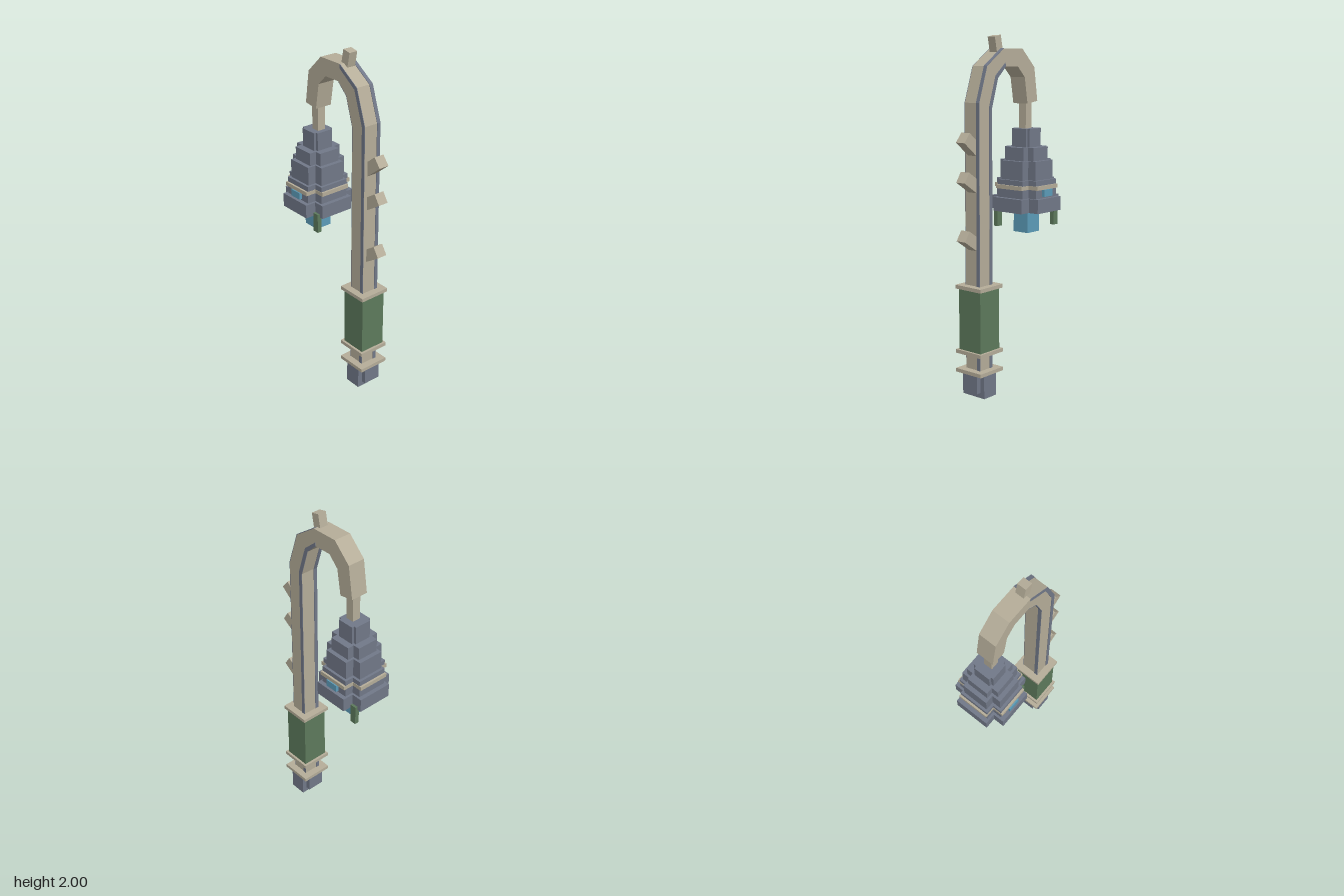
import * as THREE from 'three';

const material = (name, color) => {
  const m = new THREE.MeshStandardMaterial({ color });
  m.name = name;
  return m;
};

export function createModel() {
  const model = new THREE.Group();
  model.name = 'hangingBellLamp';
  const tan = material('weatheredTan', 0xb5ad99);
  const slate = material('slate', 0x717888);
  const green = material('mossGreen', 0x5d7a5c);
  const blue = material('glowBlue', 0x5c9cb9);

  const add = (name, geometry, mat, parent = model) => {
    const mesh = new THREE.Mesh(geometry, mat);
    mesh.name = name;
    parent.add(mesh);
    return mesh;
  };
  const box = (name, mat, [w, h, d], [x, y, z], tilt = 0, parent = model) => {
    const mesh = add(name, new THREE.BoxGeometry(w, h, d), mat, parent);
    mesh.position.set(x, y, z);
    mesh.rotation.z = tilt;
    return mesh;
  };
  // Box given by its half sizes and its bottom and top heights
  const slab = (name, mat, x, z, halfX, halfZ, y0, y1, parent) =>
    box(name, mat, [halfX * 2, y1 - y0, halfZ * 2], [x, (y0 + y1) / 2, z], 0, parent);

  // Cross-shaped slab made of two overlapping arms
  const cross = (name, mat, x, long, short, y0, y1, parent) => {
    slab(name, mat, x, 0, long, short, y0, y1, parent);
    slab(name, mat, x, 0, short, long, y0, y1, parent);
  };

  // Curved post: outer x, y and inner x, y at each joint
  const joints = [
    [0.265, 0.135, 0.165, 0.135],
    [0.265, 1.64, 0.165, 1.61],
    [0.2, 1.835, 0.115, 1.77],
    [0.065, 1.927, 0.05, 1.83],
    [-0.095, 1.927, -0.055, 1.83],
    [-0.2, 1.825, -0.115, 1.77],
    [-0.228, 1.635, -0.14, 1.622],
  ];
  // Strip of the post between two fractions of its thickness and two depths
  const rail = (name, mat, rows, t0, t1, z0, z1) => {
    const at = (t) => rows.map(([ox, oy, ix, iy]) =>
      new THREE.Vector2(ox + (ix - ox) * t, oy + (iy - oy) * t));
    const shape = new THREE.Shape([...at(t0), ...at(t1).reverse()]);
    const geometry = new THREE.ExtrudeGeometry(shape, { depth: z1 - z0, bevelEnabled: false });
    geometry.translate(0, 0, z0);
    return add(name, geometry, mat);
  };
  const half = 0.052;
  rail('curvedPost', tan, joints, 0, 1, -half, half);

  // Slate edging, one strip on each face of the post
  const edged = joints.slice(0, 4);
  rail('frontEdging', slate, edged, 0, 0.22, half, half + 0.003);
  rail('backEdging', slate, edged, 0.78, 1, -half - 0.003, -half);
  rail('outerEdging', slate, edged, -0.03, 0, -half, -half + 0.022);
  rail('innerEdging', slate, edged, 1, 1.03, half - 0.022, half);

  // Foot, collars and green sleeve
  const px = 0.215;
  slab('footCore', slate, px, 0, 0.05, 0.08, 0, 0.137);
  slab('footSides', slate, px, 0, 0.079, 0.052, 0.03, 0.137);
  for (const y of [0.135, 0.245, 0.615]) {
    slab('collar', tan, px, 0, 0.093, 0.093, y, y + 0.021);
  }
  slab('sleeve', green, px, 0, 0.079, 0.079, 0.266, 0.615);

  // Thorns on the outer side and the knob on top
  for (const [y, tilt] of [[1.42, 0.68], [1.212, 0.58], [0.892, 0.58]]) {
    box('thorn', tan, [0.12, 0.066, 0.062], [0.292, y, 0], tilt);
  }
  box('knob', tan, [0.05, 0.1, 0.052], [0.074, 1.947, 0], -0.2);

  // Bell lamp hanging from the end of the post
  const bx = -0.195;
  const bell = new THREE.Group();
  bell.name = 'bellLamp';
  bell.position.x = bx;
  model.add(bell);
  slab('stem', tan, 0.013, 0, 0.025, 0.025, 1.47, 1.66, bell).position.x = 0.012;
  for (const [long, short, y0, y1] of [
    [0.17, 0.105, 1.01, 1.09],
    [0.145, 0.092, 1.09, 1.192],
    [0.13, 0.078, 1.192, 1.3],
    [0.105, 0.065, 1.3, 1.375],
    [0.065, 0.05, 1.375, 1.48],
  ]) cross('bellTier', slate, 0, long, short, y0, y1, bell);
  cross('bellBand', tan, 0, 0.157, 0.094, 1.14, 1.163, bell);
  slab('windows', blue, 0, 0, 0.038, 0.164, 1.1, 1.14, bell);
  slab('lightCore', blue, -0.002, 0, 0.052, 0.052, 0.88, 1.012, bell);

  // Pegs under opposite corners of the bell
  for (const s of [-1, 1]) {
    slab('peg', green, s * 0.126, s * 0.107, 0.019, 0.013, 0.917, 1.03, bell);
  }
  return model;
}
